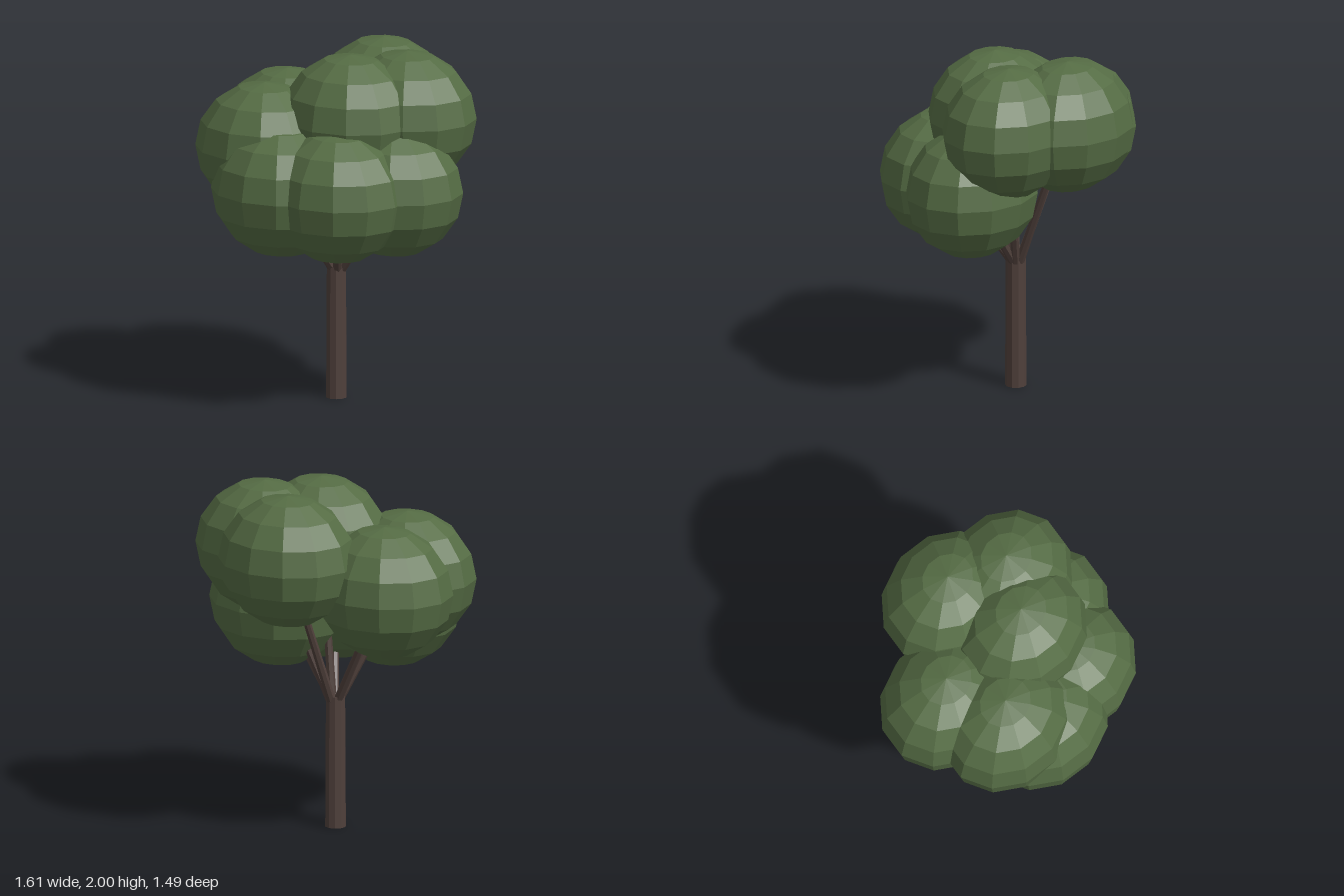
import * as THREE from 'three';

export function createModel() {
  const tree = new THREE.Group();
  tree.name = 'tree';
  const leaf = new THREE.MeshStandardMaterial({ color: 0x556c44, flatShading: true });
  leaf.name = 'leafGreen';
  const bark = new THREE.MeshStandardMaterial({ color: 0x4f403b, flatShading: true });
  bark.name = 'barkBrown';

  const add = (name, geometry, material) => {
    const mesh = new THREE.Mesh(geometry, material);
    mesh.name = name;
    tree.add(mesh);
    return mesh;
  };

  // Trunk
  const trunkTop = 0.76;
  add('trunk', new THREE.CylinderGeometry(0.056, 0.06, trunkTop, 10), bark)
    .position.set(-0.003, trunkTop / 2, 0.005);

  // Foliage clusters: name and centre
  const clusters = [
    ['upperBack', 0.03, 1.625, -0.39],
    ['upperLeft', 0.33, 1.625, -0.21],
    ['upperFront', 0.13, 1.625, 0.05],
    ['middleRightBack', -0.4, 1.445, -0.065],
    ['middleRightFront', -0.3, 1.445, 0.275],
    ['lowerLeft', 0.395, 1.25, 0],
    ['lowerFrontLeft', 0.237, 1.25, 0.312],
    ['lowerFrontRight', -0.108, 1.25, 0.383],
  ];
  const ball = new THREE.SphereGeometry(1, 12, 8).scale(0.405, 0.375, 0.357);
  const up = new THREE.Vector3(0, 1, 0);

  for (const [name, x, y, z] of clusters) {
    const centre = new THREE.Vector3(x, y, z);
    add(name + 'Foliage', ball, leaf).position.copy(centre);

    // Branch from the trunk top into the cluster
    const start = new THREE.Vector3(x, 0, z).setLength(0.027).setY(0.735);
    const along = centre.clone().sub(start);
    const branch = add(name + 'Branch', new THREE.CylinderGeometry(0.017, 0.026, along.length(), 7), bark);
    branch.position.copy(start).addScaledVector(along, 0.5);
    branch.quaternion.setFromUnitVectors(up, along.normalize());
  }
  return tree;
}
